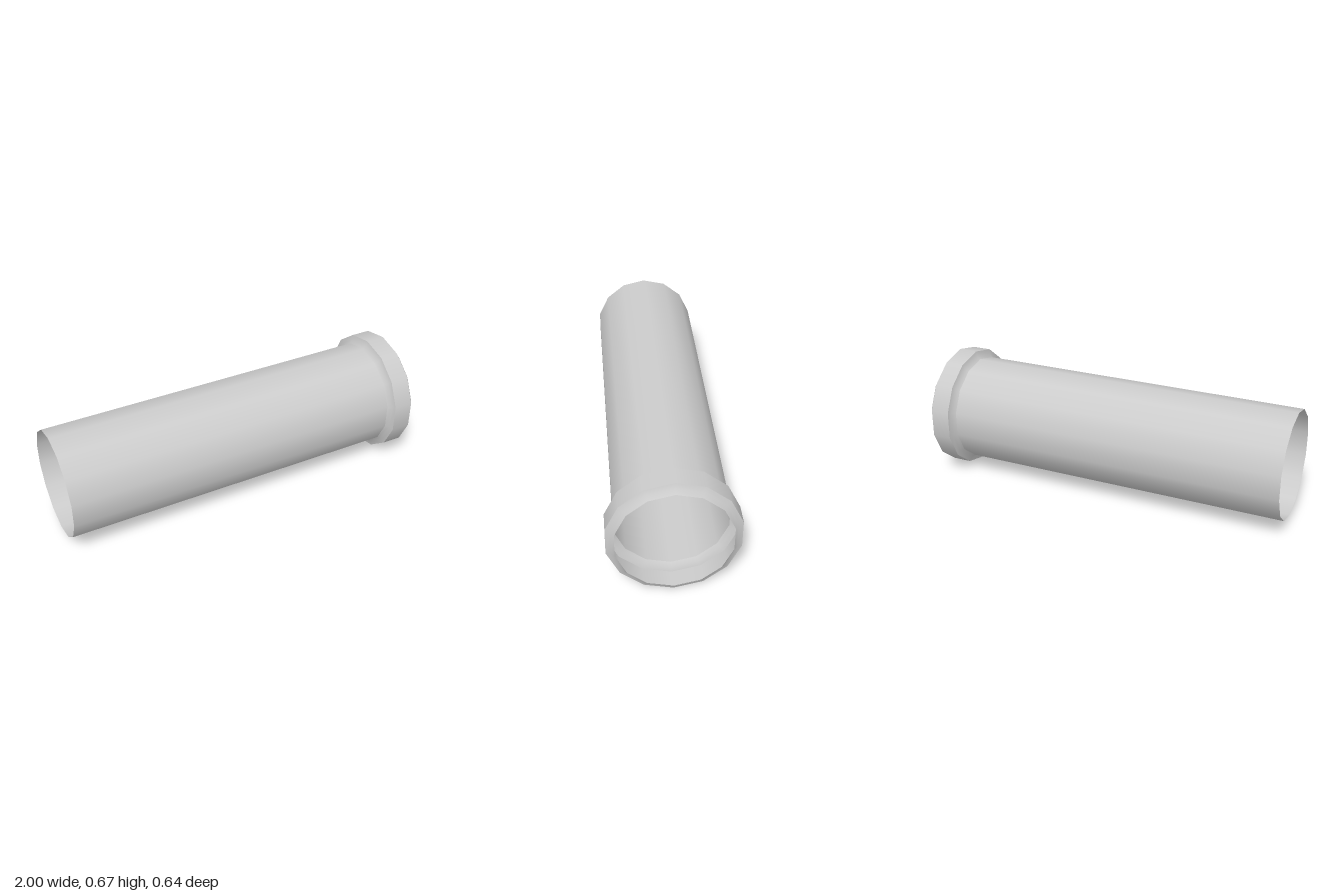
import * as THREE from 'three';

const SIDES = 14;
const RADIUS = 0.333; // collar radius, also the height of the axis

export function createModel() {
  const group = new THREE.Group();
  group.name = 'pipe';
  const material = new THREE.MeshStandardMaterial({ color: 0xcccccc, side: THREE.DoubleSide });

  // One open ring of the pipe, turned about the x axis; points are [x, radius].
  // Separate rings keep the edges between them sharp.
  function addRing(name, points) {
    const profile = points.map(([x, r]) => new THREE.Vector2(r, x));
    const geometry = new THREE.LatheGeometry(profile, SIDES, Math.PI / 2);
    geometry.rotateZ(-Math.PI / 2);
    geometry.scale(1, 1, 0.985); // very slightly oval
    const mesh = new THREE.Mesh(geometry, material);
    mesh.name = name;
    mesh.position.y = RADIUS;
    group.add(mesh);
  }

  // Long thin-walled tube
  addRing('tube', [[-1, 0.29], [0.84, 0.29]]);
  // Flared socket at the end: shoulder, collar and rim turned back in
  addRing('socketShoulder', [[0.84, 0.29], [0.857, 0.307], [0.865, RADIUS]]);
  addRing('socketCollar', [[0.865, RADIUS], [0.97, RADIUS]]);
  addRing('socketRim', [[0.97, RADIUS], [0.98, 0.308], [1, 0.29]]);

  return group;
}
